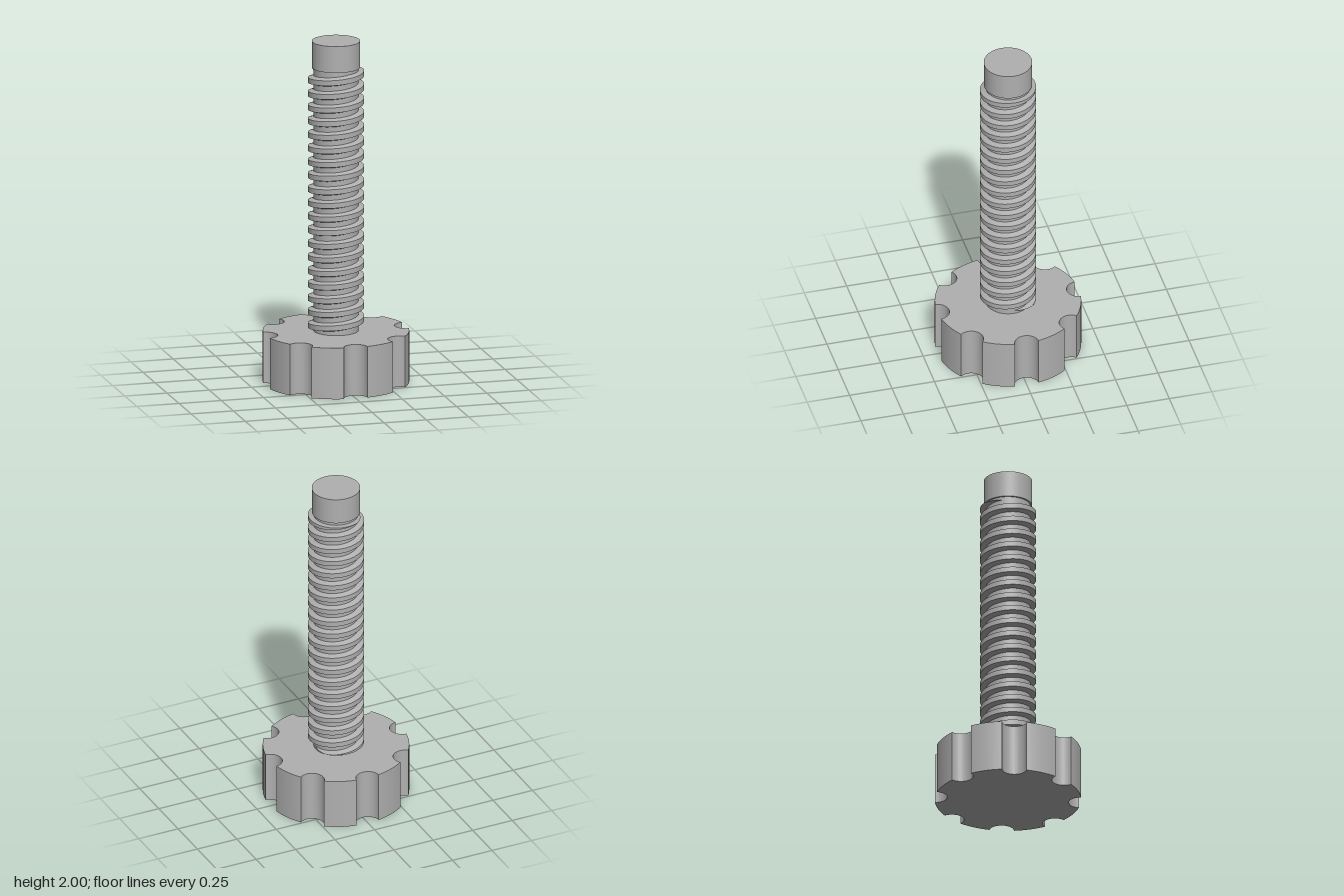
import * as THREE from 'three';
import { toCreasedNormals } from 'three/addons/utils/BufferGeometryUtils.js';

const HEAD_R = 0.417, HEAD_H = 0.3, NOTCH_R = 0.07, NOTCHES = 8;
const CORE_R = 0.128, CREST_R = 0.16, TIP_R = 0.138;
const PITCH = 0.08, FLANK = 0.0105, CREST = 0.03;
const THREAD_LOW = 0.32, THREAD_TOP = 1.826;

// Round knob with scalloped finger grips
function headGeometry() {
  const shape = new THREE.Shape();
  const d = 2 * Math.asin(NOTCH_R / (2 * HEAD_R)); // half angle of a grip
  const step = (2 * Math.PI) / NOTCHES;
  for (let i = 0; i < NOTCHES; i++) {
    const a = i * step, half = Math.PI / 2 + d / 2;
    shape.absarc(HEAD_R * Math.cos(a), HEAD_R * Math.sin(a), NOTCH_R, a - half, a + half, true);
    shape.absarc(0, 0, HEAD_R, a + d, a + step - d, false);
  }
  const geo = new THREE.ExtrudeGeometry(shape, { depth: HEAD_H, bevelEnabled: false, curveSegments: 16 });
  geo.rotateX(-Math.PI / 2);
  return toCreasedNormals(geo, 0.6);
}

// Right-handed trapezoidal thread, trimmed flat at both ends
function threadGeometry() {
  const perTurn = 72, height = CREST + 2 * FLANK;
  const endAngle = THREE.MathUtils.degToRad(163);
  const steps = Math.ceil(((THREAD_TOP - THREAD_LOW + height) / PITCH) * perTurn);
  const positions = [], index = [];
  const clampY = (y) => THREE.MathUtils.clamp(y, THREAD_LOW, THREAD_TOP);
  for (let i = 0; i <= steps; i++) {
    const back = steps - i;
    const phi = endAngle - (back / perTurn) * 2 * Math.PI;
    const y = THREAD_TOP - (back / perTurn) * PITCH;
    const t = THREE.MathUtils.clamp(
      Math.min((THREAD_TOP - y) / FLANK, (y + height - THREAD_LOW) / FLANK), 0, 1);
    const root = CORE_R - 0.001;
    const crest = root + (CREST_R - root) * t;
    const section = [[root, y], [crest, y + FLANK], [crest, y + FLANK + CREST], [root, y + height]];
    for (const [r, h] of section) positions.push(r * Math.cos(phi), clampY(h), -r * Math.sin(phi));
    if (i === steps) break;
    for (let k = 0; k < 3; k++) {
      const a = i * 4 + k, b = a + 4;
      index.push(a, b, b + 1, a, b + 1, a + 1);
    }
  }
  const geo = new THREE.BufferGeometry();
  geo.setAttribute('position', new THREE.Float32BufferAttribute(positions, 3));
  geo.setIndex(index);
  return toCreasedNormals(geo, 0.6);
}

export function createModel() {
  const group = new THREE.Group();
  group.name = 'thumbScrew';
  const steel = new THREE.MeshStandardMaterial({ color: 0xb0b0b0 });
  steel.name = 'steel grey';

  const add = (name, geometry, y = 0) => {
    const mesh = new THREE.Mesh(geometry, steel);
    mesh.name = name;
    mesh.position.y = y;
    group.add(mesh);
  };
  const cylinder = (r, y0, y1) => [new THREE.CylinderGeometry(r, r, y1 - y0, 72), (y0 + y1) / 2];

  add('knobHead', headGeometry());
  add('shaftCore', ...cylinder(CORE_R, HEAD_H - 0.01, 1.85));
  add('thread', threadGeometry());
  add('tip', ...cylinder(TIP_R, 1.845, 2));
  return group;
}
